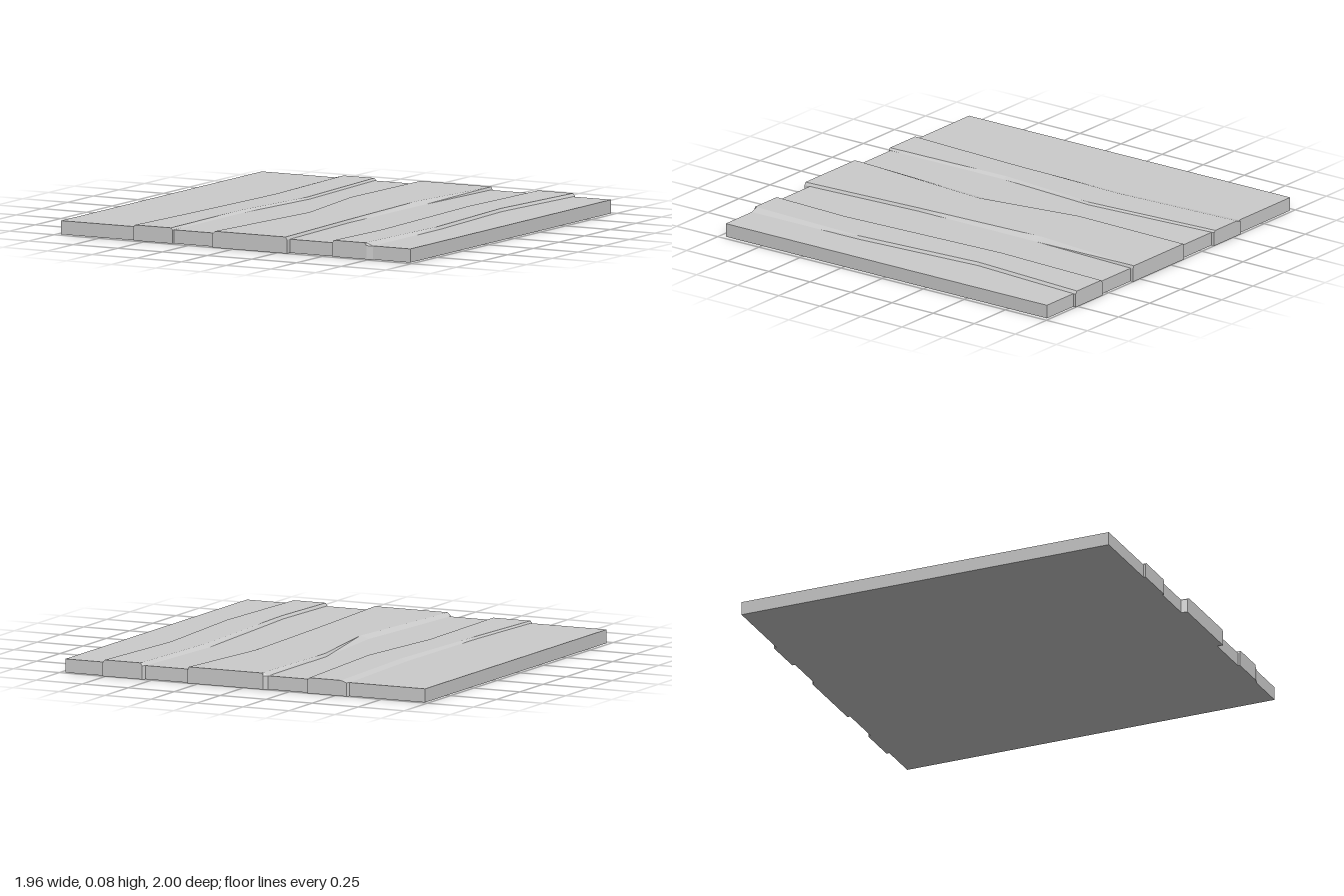
import * as THREE from 'three';

const SLAB_TOP = 0.067;
const BACK = -0.985, FRONT = 0.97;

// Piecewise-linear lookup in an edge path of [z, foot x, crest x] rows
function edgeAt(path, z) {
  let i = 0;
  while (i < path.length - 2 && z > path[i + 1][0]) i++;
  const a = path[i], b = path[i + 1];
  const t = THREE.MathUtils.clamp((z - a[0]) / (b[0] - a[0]), 0, 1);
  return [THREE.MathUtils.lerp(a[1], b[1], t), THREE.MathUtils.lerp(a[2], b[2], t)];
}

// Raised strip: six-sided cross-sections lofted along z, with narrowed tips
function stripGeometry({ top, z0, z1, left, right, tipInset = 0.01 }) {
  const zs = [...new Set([z0, BACK, FRONT, z1, ...left.map(p => p[0]), ...right.map(p => p[0])])]
    .filter(z => z >= z0 && z <= z1).sort((a, b) => a - b);
  const rings = zs.map(z => {
    const [lf, lc] = edgeAt(left, z), [rf, rc] = edgeAt(right, z);
    const inset = z === z0 ? tipInset : 0;
    return [[lf + inset, 0], [lf + inset, SLAB_TOP], [Math.max(lc, lf + inset), top],
      [rc, top], [rf, SLAB_TOP], [rf, 0]].map(([x, y]) => [x, y, z]);
  });
  const pos = [];
  const tri = (a, b, c) => pos.push(...a, ...b, ...c);
  for (let s = 0; s < rings.length - 1; s++) {
    const A = rings[s], B = rings[s + 1];
    for (let i = 0; i < 6; i++) {
      const j = (i + 1) % 6;
      tri(A[i], B[i], B[j]);
      tri(A[i], B[j], A[j]);
    }
  }
  const first = rings[0], last = rings[rings.length - 1];
  for (let i = 1; i < 5; i++) {
    tri(first[0], first[i], first[i + 1]);
    tri(last[0], last[i + 1], last[i]);
  }
  const g = new THREE.BufferGeometry();
  g.setAttribute('position', new THREE.Float32BufferAttribute(pos, 3));
  g.computeVertexNormals();
  return g;
}

export function createModel() {
  const group = new THREE.Group();
  group.name = 'plankPanel';
  const material = new THREE.MeshStandardMaterial({ color: 0xcccccc, flatShading: true });
  const add = (name, geometry) => {
    const mesh = new THREE.Mesh(geometry, material);
    mesh.name = name;
    group.add(mesh);
    return mesh;
  };

  // Flat base slab
  add('slab', new THREE.BoxGeometry(1.955, SLAB_TOP, FRONT - BACK))
    .position.set(-0.002, SLAB_TOP / 2, (FRONT + BACK) / 2);

  // Three raised strips with wavering edges
  add('rightStrip', stripGeometry({
    top: 0.077, z0: -1, z1: 0.98,
    left: [[-1, -0.57, -0.53], [-0.3, -0.535, -0.5], [0.44, -0.54, -0.53], [0.98, -0.568, -0.56]],
    right: [[-1, -0.349, -0.358], [-0.27, -0.303, -0.313], [0.28, -0.348, -0.37], [0.98, -0.348, -0.358]],
  }));
  add('middleStrip', stripGeometry({
    top: 0.081, z0: -1, z1: 1, tipInset: 0.02,
    left: [[-1, -0.127, -0.1], [-0.35, -0.125, -0.115], [0.2, -0.075, -0.03], [0.97, -0.127, -0.1], [1, -0.115, -0.1]],
    right: [[-1, 0.303, 0.298], [-0.4, 0.275, 0.232], [0.33, 0.268, 0.26], [1, 0.303, 0.295]],
  }));
  add('leftStrip', stripGeometry({
    top: 0.081, z0: -1, z1: 0.98,
    left: [[-1, 0.54, 0.56], [-0.37, 0.505, 0.535], [0.55, 0.562, 0.573], [0.98, 0.544, 0.553]],
    right: [[-1, 0.765, 0.754], [-0.37, 0.72, 0.71], [0.32, 0.766, 0.756], [0.97, 0.766, 0.726], [0.98, 0.735, 0.726]],
  }));
  return group;
}
